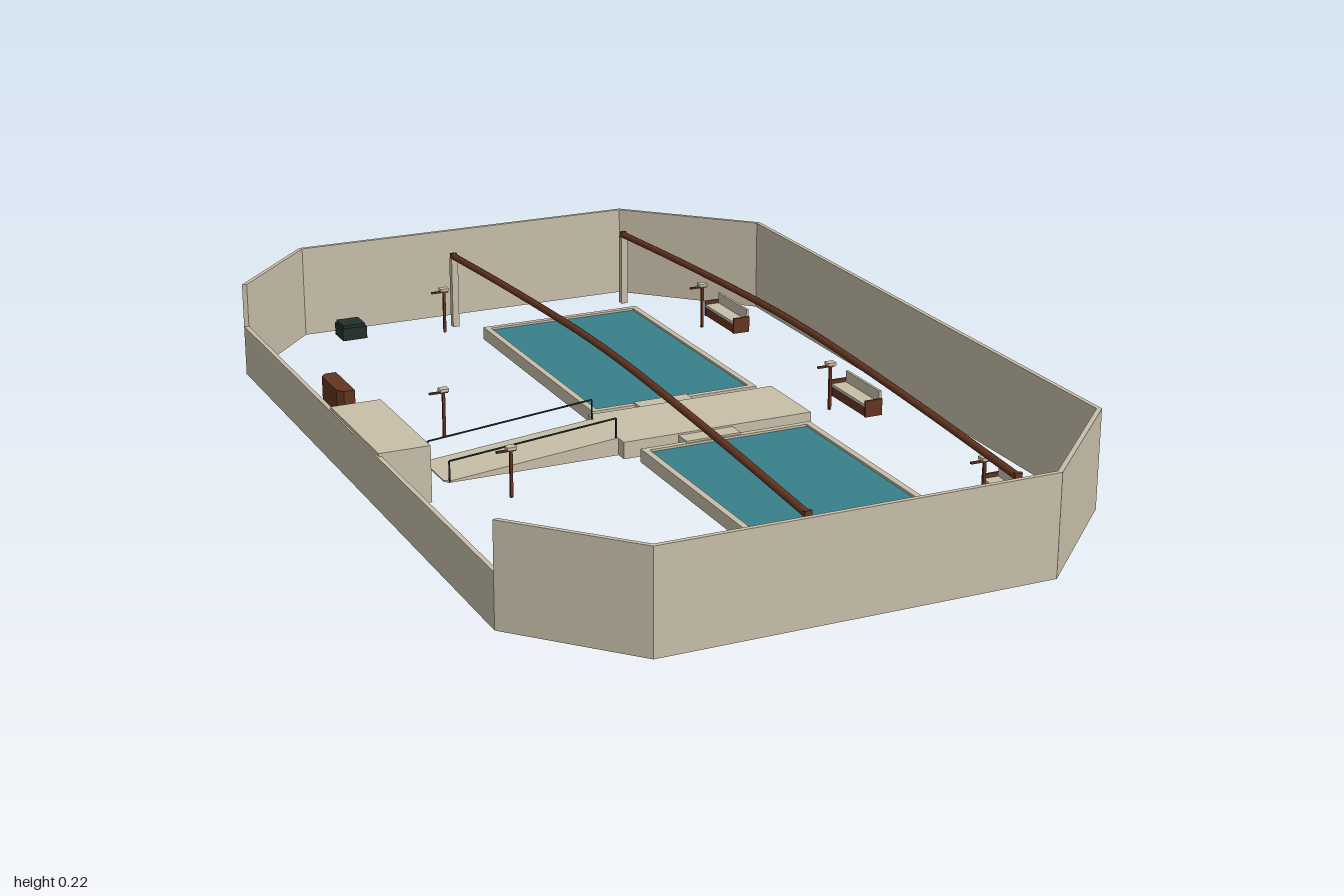
import * as THREE from 'three';

const mat = (name, color) => {
  const m = new THREE.MeshStandardMaterial({ color });
  m.name = name;
  return m;
};

export function createModel() {
  const model = new THREE.Group();
  model.name = 'poolCourtyard';
  const stone = mat('stone', 0xc8bfa9);
  const water = mat('water', 0x38808a);
  const wood = mat('wood', 0x633420);
  const dark = mat('darkMetal', 0x22302c);

  const add = (name, geo, material, parent = model) => {
    const m = new THREE.Mesh(geo, material);
    m.name = name;
    parent.add(m);
    return m;
  };
  // box given by its min and max corners
  const box = (name, x0, x1, y0, y1, z0, z1, material, parent) => {
    const g = new THREE.BoxGeometry(x1 - x0, y1 - y0, z1 - z0);
    g.translate((x0 + x1) / 2, (y0 + y1) / 2, (z0 + z1) / 2);
    return add(name, g, material, parent);
  };
  // plan outline [x, z] raised from the ground
  const prism = (pts, h) => {
    const s = new THREE.Shape(pts.map(([x, z]) => new THREE.Vector2(x, -z)));
    return new THREE.ExtrudeGeometry(s, { depth: h, bevelEnabled: false }).rotateX(-Math.PI / 2);
  };
  // straight square bar between two points
  const bar = (name, a, b, t, material, parent) => {
    const p = new THREE.Vector3(...a), q = new THREE.Vector3(...b);
    const m = add(name, new THREE.BoxGeometry(t, t, p.distanceTo(q)), material, parent);
    m.position.copy(p).add(q).multiplyScalar(0.5);
    m.lookAt(q);
    return m;
  };

  // Eight-sided enclosure; the left-hand side of the plan is a low wall
  const outer = [[-0.653, -0.772], [-0.445, -1], [0.39, -1], [0.653, -0.74],
    [0.653, 0.74], [0.39, 1], [-0.445, 1], [-0.653, 0.772]];
  const inner = [[-0.643, -0.768], [-0.441, -0.99], [0.386, -0.99], [0.643, -0.736],
    [0.643, 0.736], [0.386, 0.99], [-0.441, 0.99], [-0.643, 0.768]];
  outer.forEach((p, i) => {
    const j = (i + 1) % 8;
    const low = i === 7;
    add(low ? 'lowWall' : 'wall', prism([p, outer[j], inner[j], inner[i]], low ? 0.115 : 0.215), stone);
  });

  // Two raised pools: basin floor, rim and water
  for (const [z0, z1] of [[-0.78, -0.13], [0.12, 0.775]]) {
    const pool = new THREE.Group();
    pool.name = 'pool';
    model.add(pool);
    const x0 = -0.065, x1 = 0.335, r = 0.014, h = 0.03;
    box('basin', x0 + r, x1 - r, 0, 0.019, z0 + r, z1 - r, stone, pool);
    box('water', x0 + r, x1 - r, 0.019, 0.025, z0 + r, z1 - r, water, pool);
    box('rim', x0, x0 + r, 0, h, z0, z1, stone, pool);
    box('rim', x1 - r, x1, 0, h, z0, z1, stone, pool);
    box('rim', x0 + r, x1 - r, 0, h, z0, z0 + r, stone, pool);
    box('rim', x0 + r, x1 - r, 0, h, z1 - r, z1, stone, pool);
  }

  // Central deck with short links to the pools
  box('deck', -0.09, 0.355, 0, 0.038, -0.097, 0.09, stone);
  box('deckLink', 0.037, 0.165, 0.004, 0.034, -0.14, -0.097, stone);
  box('deckLink', 0.037, 0.165, 0.004, 0.034, 0.09, 0.13, stone);

  // Sloping ramp with slightly clipped lower corners
  const ramp = prism([[-0.48, -0.058], [-0.468, -0.068], [-0.09, -0.068],
    [-0.09, 0.063], [-0.468, 0.063], [-0.48, 0.053]], 1);
  const pos = ramp.attributes.position;
  for (let i = 0; i < pos.count; i++) {
    const rise = 0.036 * (pos.getX(i) + 0.48) / 0.39;
    pos.setY(i, pos.getY(i) > 0.5 ? rise + 0.003 : 0);
  }
  ramp.computeVertexNormals();
  add('ramp', ramp, stone);

  // Thin handrails either side of the ramp
  for (const z of [-0.066, 0.061]) {
    bar('handrail', [-0.47, 0.047, z], [-0.095, 0.083, z], 0.003, dark);
    bar('railPost', [-0.47, 0, z], [-0.47, 0.047, z], 0.003, dark);
    bar('railPost', [-0.095, 0.03, z], [-0.095, 0.083, z], 0.003, dark);
  }

  // Two long, gently arched beams on end posts
  const arch = [[-0.905, 0.176], [-0.6, 0.194], [-0.3, 0.208], [-0.1, 0.2145],
    [0.1, 0.2145], [0.3, 0.208], [0.6, 0.194], [0.9, 0.176]];
  for (const x of [-0.09, 0.358]) {
    const path = new THREE.CatmullRomCurve3(arch.map(([z, y]) => new THREE.Vector3(x, y, z)));
    add('beam', new THREE.TubeGeometry(path, 24, 0.008, 8), wood);
    for (const z of [-0.905, 0.9]) {
      box('beamPost', x - 0.008, x + 0.008, 0, 0.172, z - 0.008, z + 0.008, stone);
      box('beamEnd', x - 0.008, x + 0.008, 0.168, 0.184, z - 0.004, z + 0.004, wood);
    }
  }

  // Lamps: slim post, side arm and small head
  for (const [x, z] of [[-0.13, -0.87], [-0.385, -0.195], [-0.385, 0.19], [-0.13, 0.865],
    [0.45, -0.645], [0.45, 0], [0.45, 0.64]]) {
    const lamp = new THREE.Group();
    lamp.name = 'lamp';
    lamp.position.set(x, 0, z);
    model.add(lamp);
    box('lampPost', -0.003, 0.003, 0, 0.1, -0.003, 0.003, wood, lamp);
    box('lampArm', -0.032, 0.01, 0.1, 0.104, -0.003, 0.003, wood, lamp);
    box('lampHead', -0.01, 0.01, 0.104, 0.111, -0.009, 0.009, stone, lamp);
  }

  // Benches along the side wall
  for (const z of [-0.645, 0, 0.64]) {
    const bench = new THREE.Group();
    bench.name = 'bench';
    bench.position.set(0.517, 0, z);
    model.add(bench);
    box('benchBase', -0.019, 0.019, 0, 0.022, -0.074, 0.074, wood, bench);
    box('benchSeat', -0.021, 0.021, 0.022, 0.029, -0.075, 0.075, stone, bench);
    box('benchBack', 0.015, 0.021, 0.029, 0.055, -0.075, 0.075, stone, bench);
    for (const s of [-0.0775, 0.0775]) {
      box('benchEnd', -0.021, 0.021, 0, 0.038, s - 0.0025, s + 0.0025, wood, bench);
    }
  }

  // Shelter built against the low wall, open to the court
  box('shelterRoof', -0.65, -0.54, 0.115, 0.122, -0.155, 0.147, stone);
  box('shelterEnd', -0.643, -0.54, 0, 0.115, -0.155, -0.149, stone);
  box('shelterEnd', -0.643, -0.54, 0, 0.115, 0.141, 0.147, stone);
  box('shelterPlate', -0.597, -0.593, 0.045, 0.066, -0.19, -0.135, wood);

  // Cabinet with slightly narrower back
  add('cabinet', prism([[-0.54, -0.455], [-0.565, -0.455], [-0.577, -0.44],
    [-0.577, -0.34], [-0.565, -0.325], [-0.54, -0.325]], 0.088), wood);
  box('cabinetGap', -0.54, -0.538, 0.004, 0.084, -0.392, -0.388, dark);

  // Dark bin in the back corner
  box('bin', -0.375, -0.315, 0, 0.03, -0.965, -0.905, dark);
  box('binLid', -0.372, -0.318, 0.03, 0.037, -0.962, -0.908, dark);

  // Small steps in the front corner
  for (let i = 0; i < 3; i++) {
    box('step', -0.375, -0.315, 0, 0.024 * (i + 1), 0.885 + 0.03 * i, 0.915 + 0.03 * i, stone);
  }
  return model;
}
